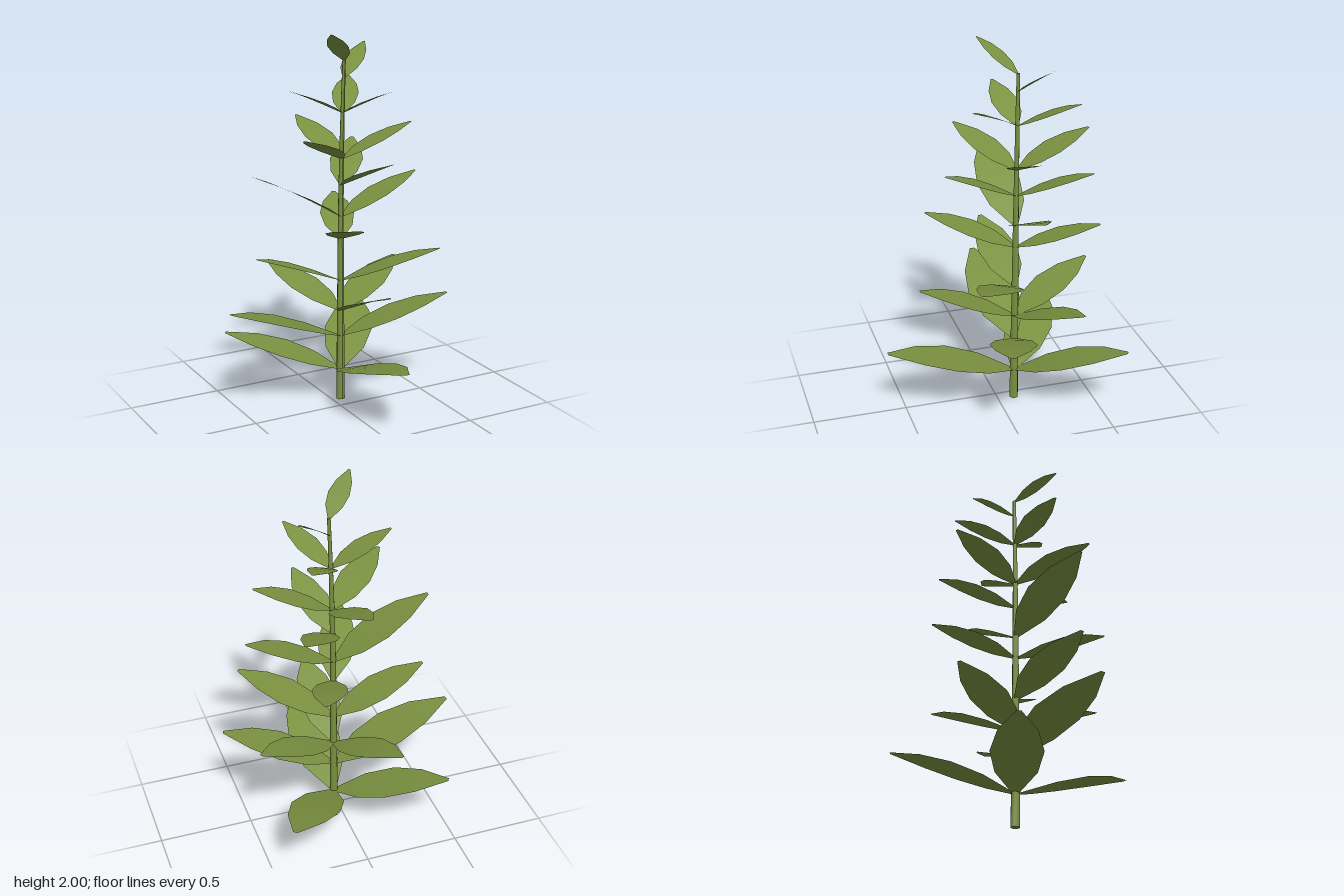
import * as THREE from 'three';

// Stem centre line
const stemCurve = new THREE.CatmullRomCurve3([
  [0.05, 0, -0.09], [0.052, 0.6, -0.093], [0.055, 1.1, -0.095], [0.063, 1.5, -0.096], [0.074, 1.845, -0.096],
].map((p) => new THREE.Vector3(...p)));
const STEM_HEIGHT = 1.845;

// Point on the stem at a given height
function stemAt(y) {
  const p = stemCurve.getPoint(0);
  let lo = 0, hi = 1;
  for (let i = 0; i < 24; i++) {
    const mid = (lo + hi) / 2;
    stemCurve.getPoint(mid, p);
    if (p.y < y) lo = mid; else hi = mid;
  }
  return p;
}

// Each node: height on the stem, then the leaf tips growing from it
const nodes = [
  [0.17, [0.05, 0.375, 0.6], [-0.475, 0.36, -0.43], [0.425, 0.39, -0.595]],
  [0.36, [-0.61, 0.6, -0.045], [0.605, 0.57, 0.09]],
  [0.5, [0.05, 0.715, 0.42], [0.51, 0.69, -0.315], [-0.155, 0.69, -0.56]],
  [0.67, [-0.46, 0.87, -0.05], [0.48, 0.865, 0.205]],
  [0.9, [-0.135, 1.07, 0.34], [0.225, 1.05, -0.495]],
  [1.02, [-0.47, 1.3, -0.06], [0.51, 1.22, -0.1]],
  [1.19, [0.14, 1.37, 0.3], [0.3, 1.365, -0.42]],
  [1.33, [-0.275, 1.5, 0.145], [0.45, 1.5, -0.05], [0, 1.5, -0.5]],
  [1.57, [-0.26, 1.715, -0.06], [0.22, 1.715, 0.18], [0.245, 1.715, -0.365]],
  [1.75, [0.27, 1.91, -0.238]],
  [1.84, [-0.088, 2, 0.07]],
];

// Half width along the leaf, as a share of its length
const halfWidths = [0.02, 0.16, 0.2, 0.148, 0.018];

// Leaf blade: a small grid shaped from base to tip with a slight arch
function leafGeometry(base, tip) {
  const geo = new THREE.PlaneGeometry(2, 1, 2, 4);
  const pos = geo.attributes.position;
  const along = tip.clone().sub(base);
  const length = along.length();
  const side = along.clone().cross(new THREE.Vector3(0, 1, 0)).normalize();
  const normal = side.clone().cross(along).normalize();
  const p = new THREE.Vector3();
  for (let i = 0; i < pos.count; i++) {
    const s = pos.getX(i);
    const t = pos.getY(i) + 0.5;
    p.copy(base)
      .addScaledVector(along, t)
      .addScaledVector(side, s * halfWidths[Math.round(t * 4)] * length)
      .addScaledVector(normal, 0.1 * length * t * (1 - t));
    pos.setXYZ(i, p.x, p.y, p.z);
  }
  geo.computeVertexNormals();
  return geo;
}

// Stem: a tapering cylinder bent to follow the centre line
function stemGeometry() {
  const geo = new THREE.CylinderGeometry(0.009, 0.024, STEM_HEIGHT, 8, 10);
  const pos = geo.attributes.position;
  for (let i = 0; i < pos.count; i++) {
    const y = pos.getY(i) + STEM_HEIGHT / 2;
    const c = stemAt(y);
    pos.setXYZ(i, pos.getX(i) + c.x, y, pos.getZ(i) + c.z);
  }
  geo.computeVertexNormals();
  return geo;
}

export function createModel() {
  const model = new THREE.Group();
  model.name = 'leafyPlant';
  const green = new THREE.MeshStandardMaterial({ color: 0x7a9140, side: THREE.DoubleSide });
  green.name = 'leaf green';

  const stem = new THREE.Mesh(stemGeometry(), green);
  stem.name = 'stem';
  model.add(stem);

  // Leaves, grouped by the node they grow from
  nodes.forEach(([height, ...tips], n) => {
    const whorl = new THREE.Group();
    whorl.name = `leafWhorl${n + 1}`;
    tips.forEach((tip, i) => {
      const leaf = new THREE.Mesh(leafGeometry(stemAt(height), new THREE.Vector3(...tip)), green);
      leaf.name = `leaf${n + 1}_${i + 1}`;
      whorl.add(leaf);
    });
    model.add(whorl);
  });
  return model;
}
